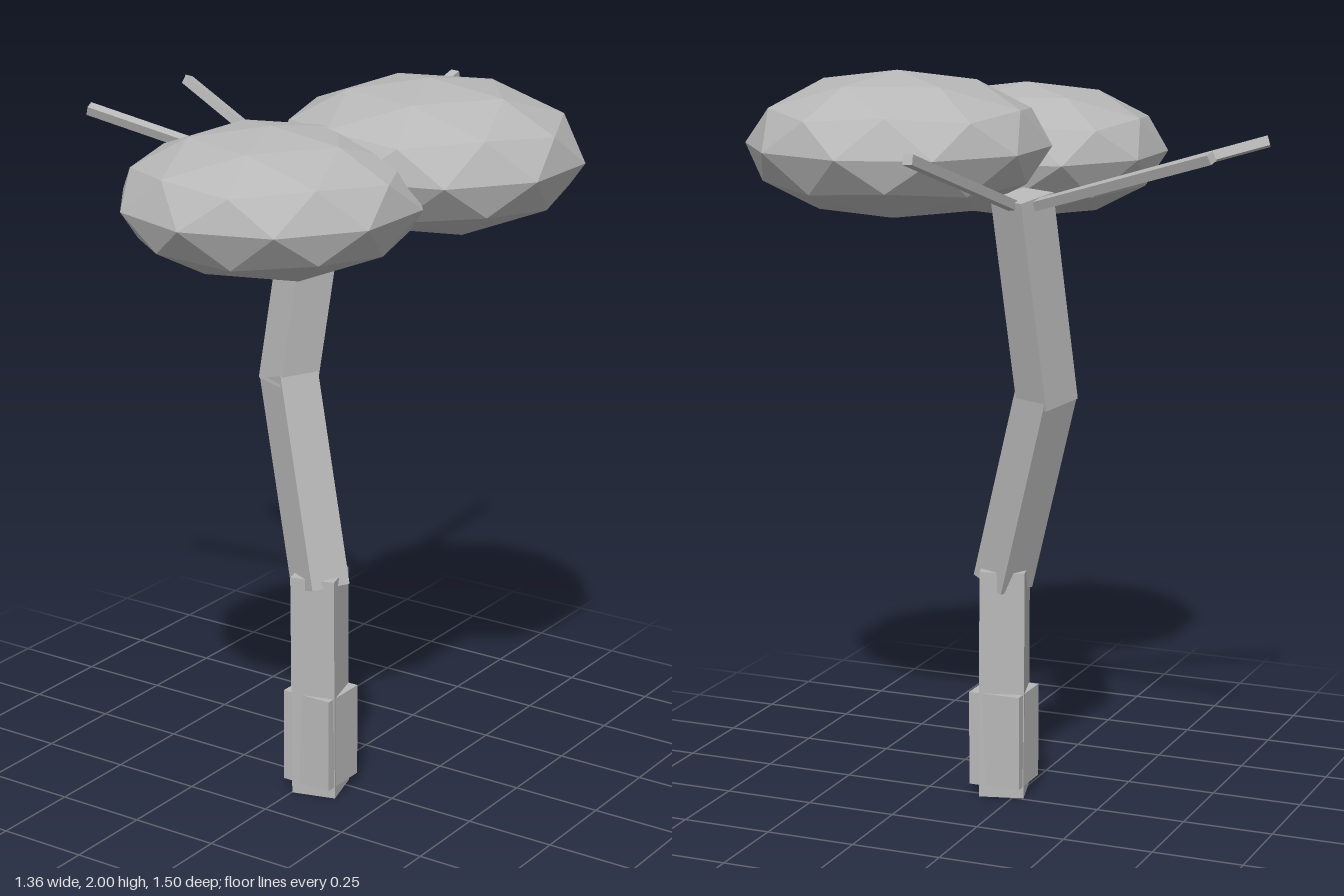
import * as THREE from 'three';

const V = (x, y, z) => new THREE.Vector3(x, y, z);

export function createModel() {
  const model = new THREE.Group();
  model.name = 'tree';
  const grey = new THREE.MeshStandardMaterial({ color: 0xb8b8b8, flatShading: true });
  grey.name = 'plain grey';

  const add = (name, geometry) => {
    const mesh = new THREE.Mesh(geometry, grey);
    mesh.name = name;
    model.add(mesh);
    return mesh;
  };

  // Square beam between two points, twisted about its own axis
  const beam = (name, from, to, width, twist = 0) => {
    const axis = to.clone().sub(from);
    const geometry = new THREE.BoxGeometry(width, axis.length(), width);
    geometry.rotateY(twist);
    const mesh = add(name, geometry);
    mesh.quaternion.setFromUnitVectors(V(0, 1, 0), axis.normalize());
    mesh.position.copy(from).add(to).multiplyScalar(0.5);
  };

  // Block around the foot of the trunk
  add('trunkBase', new THREE.BoxGeometry(0.148, 0.265, 0.142)).position.set(0.045, 0.165, 0.047);

  // Bent trunk in three lengths
  beam('lowerTrunk', V(0.045, 0, 0.047), V(0.045, 0.64, 0.054), 0.124, 0.27);
  beam('middleTrunk', V(0.053, 0.6, 0.06), V(-0.106, 1.155, -0.022), 0.116, -0.44);
  beam('upperTrunk', V(-0.108, 1.13, -0.02), V(-0.073, 1.69, -0.112), 0.116, -0.44);

  // Bare branches fanning out from the trunk top
  const fork = V(-0.07, 1.655, -0.115);
  [V(-0.662, 1.84, -0.328), V(-0.672, 1.835, 0.102), V(-0.04, 1.855, -0.75)].forEach((tip, i) =>
    beam('branch' + (i + 1), fork, tip, 0.026));

  // Flattened faceted leaf crowns, with a corner pointing straight up
  const crown = (name, position, radii) => {
    const geometry = new THREE.IcosahedronGeometry(1, 1);
    geometry.rotateZ(Math.atan(2 / (1 + Math.sqrt(5))));
    geometry.rotateY(Math.PI);
    geometry.scale(...radii);
    add(name, geometry).position.copy(position);
  };
  crown('upperCrown', V(0.29, 1.805, -0.088), [0.41, 0.195, 0.39]);
  crown('lowerCrown', V(0.107, 1.75, 0.36), [0.39, 0.186, 0.39]);

  return model;
}
